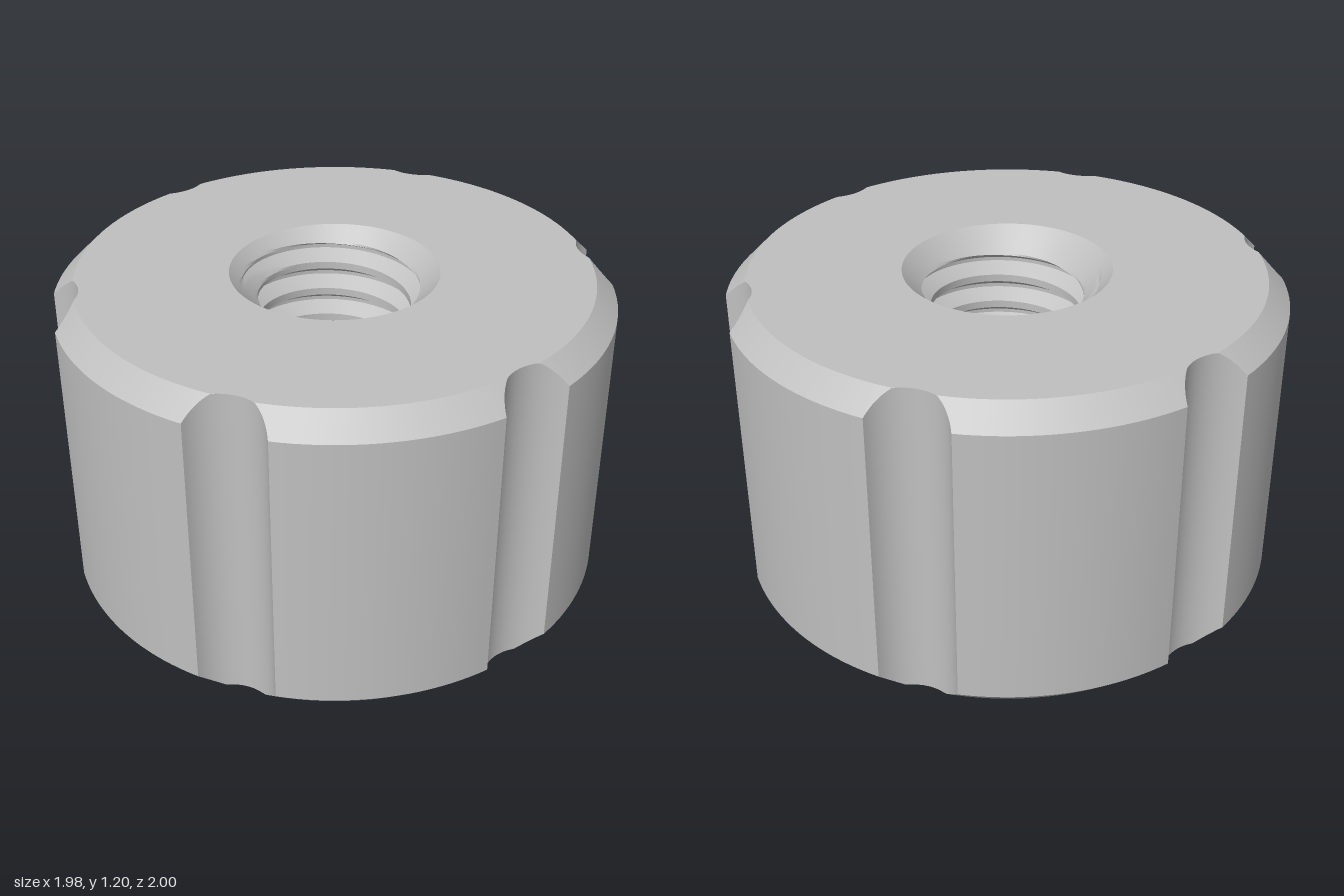
import * as THREE from 'three';
import { toCreasedNormals } from 'three/addons/utils/BufferGeometryUtils.js';

const HEIGHT = 1.2, RADIUS = 1, RIM = 0.92;          // body and its chamfered rim
const GROOVE_CENTRE = 1.06, GROOVE_RADIUS = 0.16;    // six finger grooves
const MOUTH = 0.375, FLOOR = 0.24;                   // countersunk blind hole
const MINOR = 0.275, MAJOR = 0.33, PITCH = 0.11;     // internal thread

// Grid surface through point(i, j), where i runs around and j runs up
function gridSurface(cols, rows, point, inward = false) {
  const positions = [], index = [];
  for (let i = 0; i <= cols; i++) for (let j = 0; j <= rows; j++) {
    const [angle, r, y] = point(i, j);
    positions.push(r * Math.sin(angle), y, r * Math.cos(angle));
  }
  for (let i = 0; i < cols; i++) for (let j = 0; j < rows; j++) {
    const a = i * (rows + 1) + j, b = a + rows + 1;
    if (inward) index.push(a, b + 1, b, a, a + 1, b + 1);
    else index.push(a, b, b + 1, a, b + 1, a + 1);
  }
  const g = new THREE.BufferGeometry();
  g.setAttribute('position', new THREE.Float32BufferAttribute(positions, 3));
  g.setIndex(index);
  g.computeVertexNormals();
  return g;
}

// Outline sections as lists of [angle, radius]: a groove, then the arc to the next one
function outlineSections() {
  const c = GROOVE_CENTRE, r = GROOVE_RADIUS;
  const reach = Math.acos((c * c + r * r - RADIUS * RADIUS) / (2 * c * r));
  const half = Math.atan2(r * Math.sin(reach), c - r * Math.cos(reach));
  const sections = [];
  for (let k = 0; k < 6; k++) {
    const middle = Math.PI / 2 + k * Math.PI / 3;
    const groove = [], arc = [];
    for (let i = 0; i <= 28; i++) {
      const phi = reach * (i / 14 - 1);
      const x = c - r * Math.cos(phi), s = r * Math.sin(phi);
      groove.push([middle + Math.atan2(s, x), Math.hypot(x, s)]);
    }
    for (let i = 0; i <= 20; i++)
      arc.push([middle + half + (Math.PI / 3 - 2 * half) * i / 20, RADIUS]);
    sections.push({ name: 'fingerGroove', points: groove }, { name: 'gripFace', points: arc });
  }
  return sections;
}

// Thread radius at a phase of 0..1 along one pitch: crest, flank, root, flank
function threadRadius(phase) {
  if (phase <= 0.25) return MINOR;
  if (phase < 0.5625) return MINOR + (MAJOR - MINOR) * (phase - 0.25) / 0.3125;
  if (phase <= 0.6875) return MAJOR;
  return MAJOR - (MAJOR - MINOR) * (phase - 0.6875) / 0.3125;
}

export function createModel() {
  const grey = new THREE.MeshStandardMaterial({ color: 0xc0c0c0 });
  grey.name = 'grey';
  const knob = new THREE.Group();
  knob.name = 'knob';
  const add = (name, geometry) => {
    const mesh = new THREE.Mesh(geometry, grey);
    mesh.name = name;
    knob.add(mesh);
    return mesh;
  };

  // Side walls and the chamfers that follow the grooves
  const sections = outlineSections();
  for (const { name, points } of sections) {
    const n = points.length - 1;
    const strip = (label, low, high) => add(label, gridSurface(n, 1, (i, j) => {
      const [angle, r] = points[i];
      return [angle, ...(j ? high(r) : low(r))];
    }));
    const bevel = r => Math.max(0, r - RIM);
    strip(name, r => [r, bevel(r)], r => [r, HEIGHT - bevel(r)]);
    strip('bottomChamfer', r => [Math.min(r, RIM), 0], r => [r, bevel(r)]);
    strip('topChamfer', r => [r, HEIGHT - bevel(r)], r => [Math.min(r, RIM), HEIGHT]);
  }

  // Flat ends
  const outline = sections.flatMap(s => s.points.slice(0, -1)).map(([angle, r]) =>
    new THREE.Vector2(Math.min(r, RIM) * Math.sin(angle), Math.min(r, RIM) * Math.cos(angle)));
  add('bottomFace', new THREE.ShapeGeometry(new THREE.Shape(outline)).rotateX(Math.PI / 2));
  const topShape = new THREE.Shape(outline);
  topShape.holes.push(new THREE.Path().absarc(0, 0, MOUTH, 0, Math.PI * 2, true));
  add('topFace', new THREE.ShapeGeometry(topShape, 48).rotateX(-Math.PI / 2)).position.y = HEIGHT;

  // Threaded bore, opened by the countersink at the top
  const cols = 96, perTurn = 16;
  const turns = Math.ceil((HEIGHT - FLOOR) / PITCH) + 1;
  const bore = gridSurface(cols, turns * perTurn, (i, j) => {
    const turn = i / cols;
    const rise = FLOOR + PITCH * (j / perTurn + turn - 1);
    const y = Math.min(HEIGHT, Math.max(FLOOR, rise));
    const phase = (((y - FLOOR) / PITCH - turn + 2) % 1 + 1) % 1;
    return [turn * Math.PI * 2, Math.max(threadRadius(phase), MOUTH - (HEIGHT - y)), y];
  }, true);
  add('threadedBore', toCreasedNormals(bore, 0.45));

  // Floor of the blind hole
  add('boreFloor', new THREE.CircleGeometry(MAJOR, 48).rotateX(-Math.PI / 2)).position.y = FLOOR;

  return knob;
}
